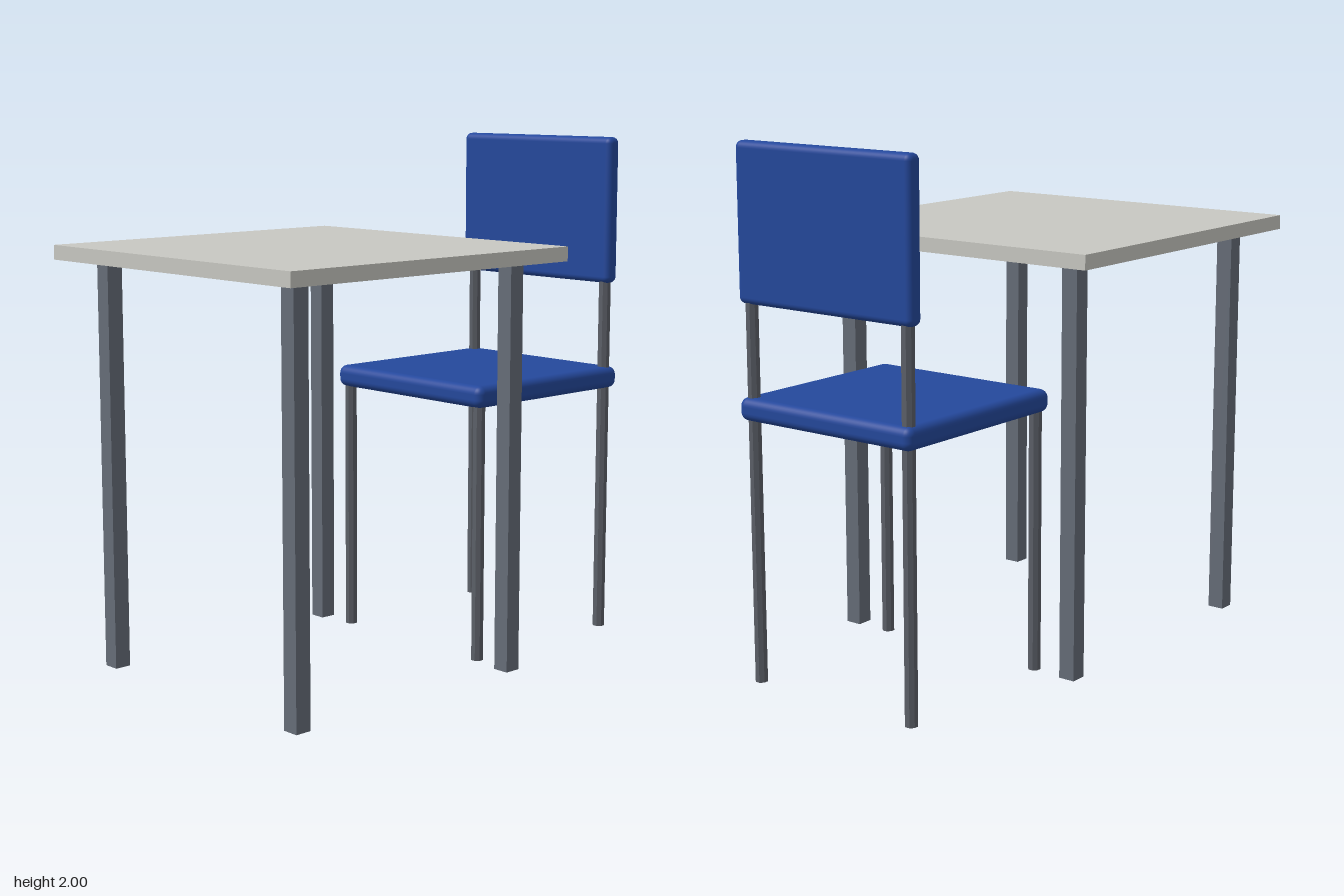
import * as THREE from 'three';
import { RoundedBoxGeometry } from 'three/addons/geometries/RoundedBoxGeometry.js';

function material(name, color, flatShading = false) {
  const m = new THREE.MeshStandardMaterial({ color, flatShading });
  m.name = name;
  return m;
}

export function createModel() {
  const topGrey = material('pale grey top', 0xc8c8c2);
  const legGrey = material('slate grey legs', 0x666d78);
  const tubeGrey = material('dark grey tube', 0x5c6068, true);
  const blue = material('blue padding', 0x24489c);

  const model = new THREE.Group();
  const table = new THREE.Group();
  const chair = new THREE.Group();
  table.name = 'table';
  chair.name = 'chair';
  model.add(table, chair);

  function add(parent, name, geometry, mat, x, y, z) {
    const mesh = new THREE.Mesh(geometry, mat);
    mesh.name = name;
    mesh.position.set(x, y, z);
    parent.add(mesh);
  }

  // Table: square slab on four square legs
  add(table, 'tableTop', new THREE.BoxGeometry(1.35, 0.055, 1.35), topGrey, 0, 1.5925, 0.315);
  const tableLeg = new THREE.BoxGeometry(0.065, 1.565, 0.065);
  for (const x of [-0.527, 0.527]) {
    for (const z of [-0.212, 0.845]) {
      add(table, 'tableLeg', tableLeg, legGrey, x, 0.7825, z);
    }
  }

  // Chair padding: seat and backrest
  add(chair, 'seat', new RoundedBoxGeometry(0.806, 0.086, 0.806, 4, 0.032), blue, 0, 1.037, -0.585);
  add(chair, 'backrest', new RoundedBoxGeometry(0.806, 0.58, 0.065, 4, 0.025), blue, 0, 1.71, -0.943);

  // Chair legs: the rear pair runs on up into the backrest
  function chairLeg(name, height, x, z) {
    const tube = new THREE.CylinderGeometry(0.0245, 0.0245, height, 8);
    tube.rotateY(Math.PI / 8);
    add(chair, name, tube, tubeGrey, x, height / 2, z);
  }
  for (const x of [-0.362, 0.362]) {
    chairLeg('frontChairLeg', 1.01, x, -0.222);
    chairLeg('rearChairLeg', 1.44, x, -0.943);
  }

  return model;
}
